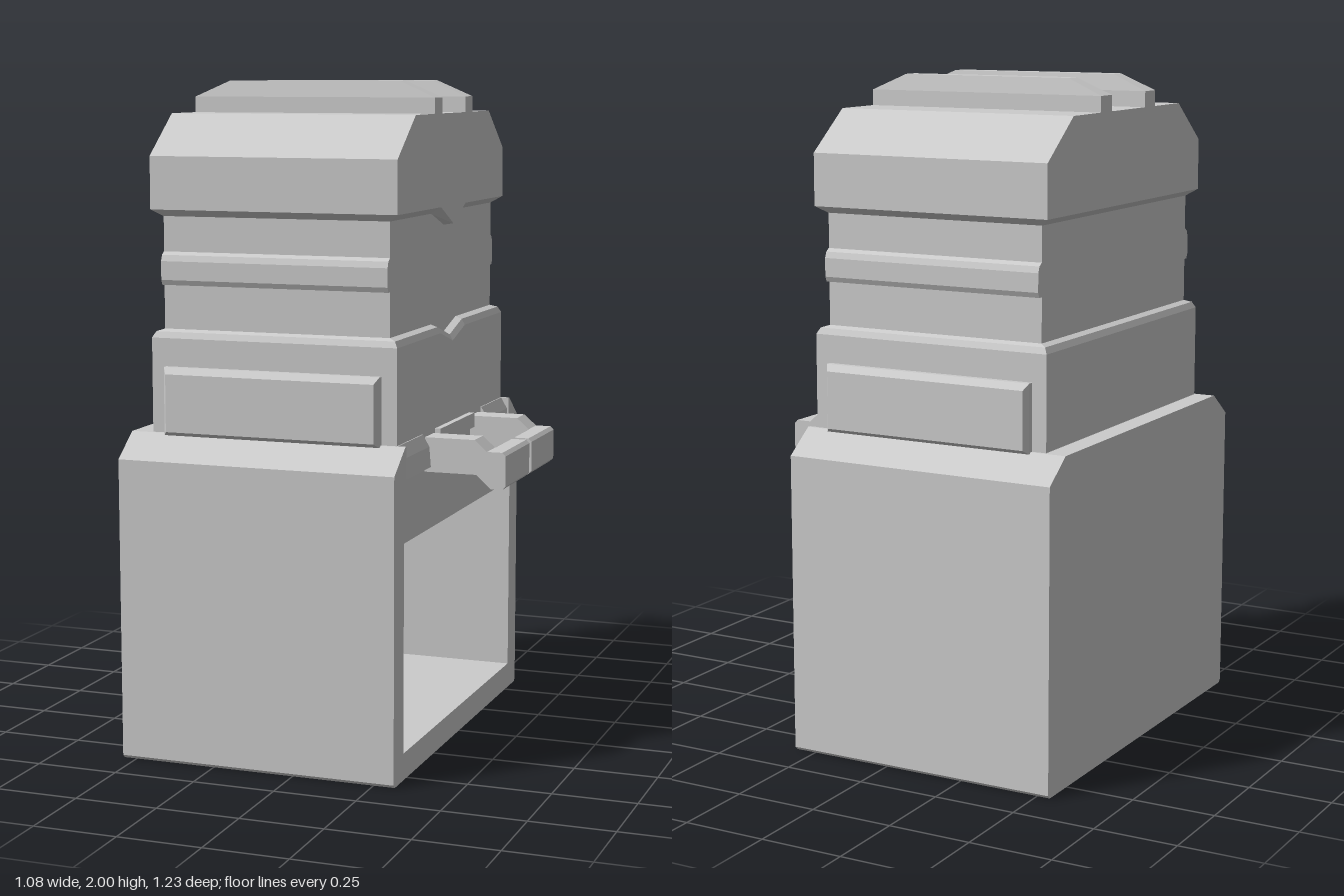
import * as THREE from 'three';
import { ConvexGeometry } from 'three/addons/geometries/ConvexGeometry.js';

const material = new THREE.MeshStandardMaterial({ color: 0xcccccc, flatShading: true });

function add(group, name, geometry) {
  const mesh = new THREE.Mesh(geometry, material);
  mesh.name = name;
  group.add(mesh);
  return mesh;
}

// Outline of [x, y] points extruded from z0 to z1
function prismZ(points, z0, z1) {
  const shape = new THREE.Shape(points.map(([x, y]) => new THREE.Vector2(x, y)));
  const g = new THREE.ExtrudeGeometry(shape, { depth: z1 - z0, bevelEnabled: false });
  return g.translate(0, 0, z0);
}

// Outline of [z, y] points extruded from x0 to x1
function prismX(points, x0, x1) {
  return prismZ(points.map(([z, y]) => [-z, y]), x0, x1).rotateY(Math.PI / 2);
}

function block(x0, x1, y0, y1, z0, z1) {
  return new THREE.BoxGeometry(x1 - x0, y1 - y0, z1 - z0)
    .translate((x0 + x1) / 2, (y0 + y1) / 2, (z0 + z1) / 2);
}

const hull = (pts) => new ConvexGeometry(pts.map((p) => new THREE.Vector3(...p)));

// Stacked rectangular rings; "dip" lowers the middle of the +x edge into a V
function loftRings(rings) {
  const pos = [], index = [], n = 7;
  for (const { x0, x1, z, y, dip = 0 } of rings) {
    pos.push(x1, y, z, x1, y, 0.12, x1, y - dip, 0, x1, y, -0.12, x1, y, -z, x0, y, -z, x0, y, z);
  }
  for (let i = 0; i < rings.length - 1; i++) {
    for (let j = 0; j < n; j++) {
      const a = i * n + j, b = i * n + (j + 1) % n;
      index.push(a, b, b + n, a, b + n, a + n);
    }
  }
  const last = (rings.length - 1) * n;
  for (let j = 1; j < n - 1; j++) {
    index.push(0, j + 1, j);
    index.push(last, last + j, last + j + 1);
  }
  const g = new THREE.BufferGeometry();
  g.setAttribute('position', new THREE.Float32BufferAttribute(pos, 3));
  g.setIndex(index);
  const flat = g.toNonIndexed();
  flat.computeVertexNormals();
  return flat;
}

export function createModel() {
  const model = new THREE.Group();
  model.name = 'model';

  // Open-sided housing: floor and two chamfered walls, closed at -x
  const outer = [[-0.52, 0.975], [-0.615, 0.905], [-0.615, 0.01], [-0.605, 0],
    [0.605, 0], [0.615, 0.01], [0.615, 0.905], [0.52, 0.975]];
  const inner = [[0.51, 0.975], [0.51, 0.88], [0.53, 0.88], [0.53, 0.08],
    [-0.53, 0.08], [-0.53, 0.88], [-0.51, 0.88], [-0.51, 0.975]];
  const housing = new THREE.Group();
  housing.name = 'housing';
  model.add(housing);
  add(housing, 'housingWalls', prismX([...outer, ...inner], -0.475, 0.315));
  add(housing, 'housingBack', prismX(outer, -0.54, -0.475));

  // Sloped rim pieces beside the latch gap, and the small tab between the arms
  const rim = [[0.27, 0.88], [0.315, 0.88], [0.31, 0.94], [0.29, 0.975], [0.27, 0.975]];
  add(housing, 'rimLeft', prismZ(rim, 0.29, 0.515));
  add(housing, 'rimRight', prismZ(rim, -0.515, -0.29));
  add(housing, 'latchTab', block(0.27, 0.305, 0.93, 0.975, -0.17, 0.17));

  // Body: hollow sleeve, lower block, narrow waist and chamfered head
  const wide = { x0: -0.475, x1: 0.287, z: 0.512 };
  const waist = { x0: -0.445, x1: 0.256, z: 0.485 };
  const hollow = { x0: -0.425, x1: 0.237, z: 0.462 };
  add(model, 'body', loftRings([
    { ...hollow, y: 1.2 }, { ...hollow, y: 0.68 },
    { ...wide, y: 0.68 }, { ...wide, y: 1.255, dip: 0.035 },
    { x0: -0.465, x1: 0.277, z: 0.503, y: 1.273, dip: 0.035 },
    { ...waist, y: 1.28, dip: 0.035 },
    { ...waist, y: 1.61, dip: 0.04 }, { ...wide, y: 1.63, dip: 0.055 },
    { ...wide, y: 1.785 }, { ...wide, z: 0.355, y: 1.905 },
  ]));

  for (const s of [1, -1]) {
    const side = s > 0 ? 'Front' : 'Back';

    // Rounded rib across the waist
    const rib = [[0.47, 1.41], [0.5, 1.41], [0.507, 1.425], [0.507, 1.48],
      [0.5, 1.498], [0.487, 1.507], [0.47, 1.507]];
    add(model, 'rib' + side, prismX(rib.map(([z, y]) => [s * z, y]), -0.445, 0.256));

    // Raised panel with bevelled edges
    const panel = [];
    for (const [z, inset] of [[0.5, 0], [0.53, 0], [0.547, 0.012]]) {
      for (const x of [-0.43 + inset, 0.24 - inset]) {
        panel.push([x, 0.97 + inset, s * z], [x, 1.172 - inset * 1.6, s * z]);
      }
    }
    add(model, 'panel' + side, hull(panel));

    // Top ridge, tapering at its ends and along its crest
    const ridge = [];
    for (const w of [-1, 1]) {
      for (const [x, y, h] of [[-0.475, 1.89, 0.037], [-0.475, 1.952, 0.035], [-0.365, 2, 0.025],
        [0.177, 2, 0.025], [0.287, 1.952, 0.035], [0.287, 1.89, 0.037]]) {
        ridge.push([x, y, s * 0.148 + w * h]);
      }
    }
    add(model, 'ridge' + side, hull(ridge));

    // Latch arm with half of the crossbar
    const arm = [[0.27, 0.963], [0.44, 0.963], [0.478, 0.93], [0.485, 0.93],
      [0.485, 0.825], [0.445, 0.86], [0.27, 0.86]];
    const bar = [[0.48, 0.93], [0.525, 0.93], [0.535, 0.92], [0.535, 0.83], [0.525, 0.82], [0.49, 0.82], [0.48, 0.83]];
    add(model, 'latchArm' + side, s > 0 ? prismZ(arm, 0.18, 0.263) : prismZ(arm, -0.263, -0.18));
    add(model, 'latchBar' + side, s > 0 ? prismZ(bar, 0.012, 0.263) : prismZ(bar, -0.263, -0.012));
  }

  // Pin joining the two crossbar halves
  add(model, 'latchPin', block(0.49, 0.525, 0.84, 0.91, -0.02, 0.02));

  return model;
}
